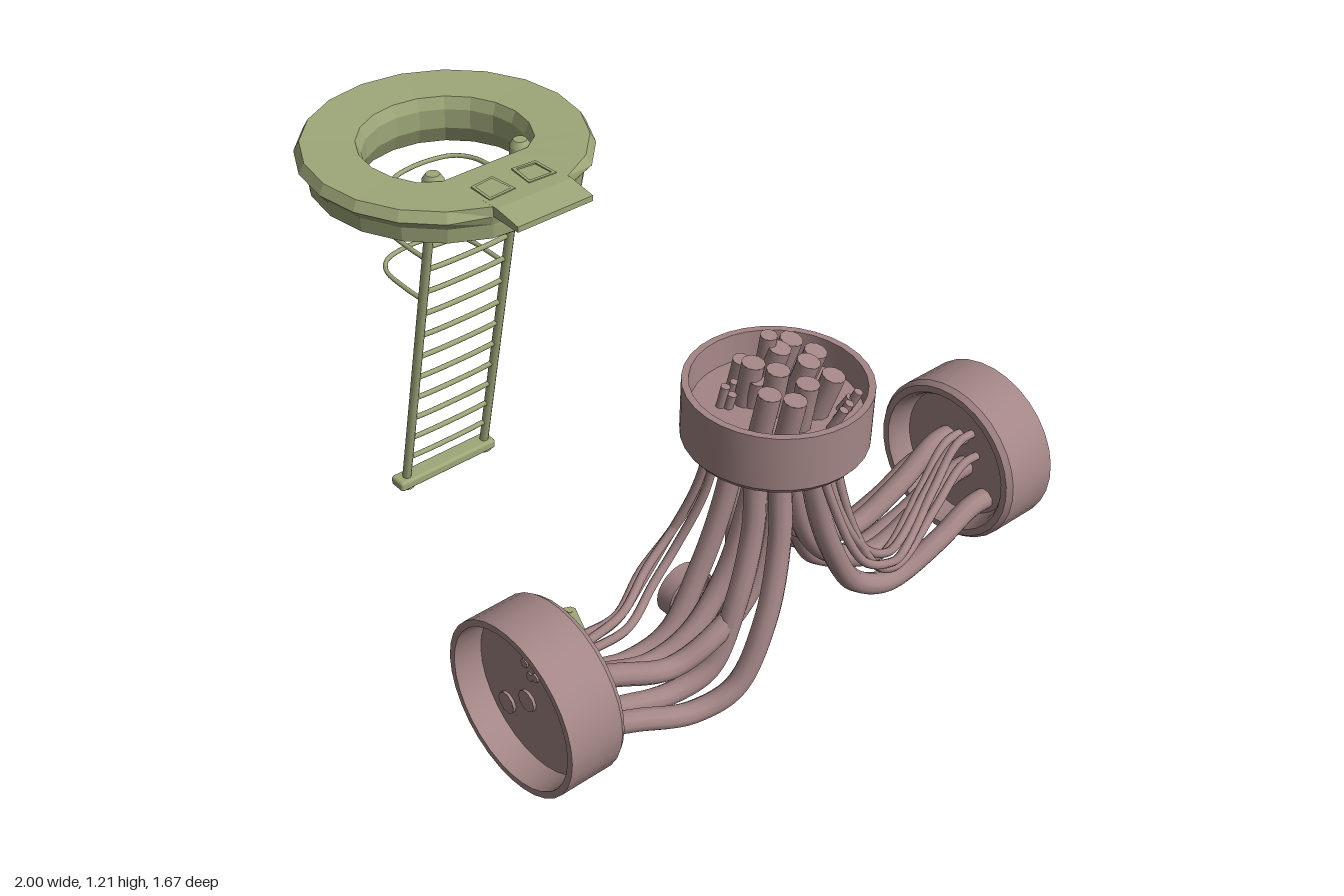
import * as THREE from 'three';
import { mergeGeometries, toCreasedNormals } from 'three/addons/utils/BufferGeometryUtils.js';
import { RoundedBoxGeometry } from 'three/addons/geometries/RoundedBoxGeometry.js';

const green = new THREE.MeshStandardMaterial({ color: 0x9ea779 });
const greenFlat = new THREE.MeshStandardMaterial({ color: 0x9ea779, flatShading: true });
const pink = new THREE.MeshStandardMaterial({ color: 0xa48686 });
const V = (x, y, z) => new THREE.Vector3(x, y, z);
const { lerp, smoothstep } = THREE.MathUtils;

function add(parent, name, geometry, material, x = 0, y = 0, z = 0) {
  const mesh = new THREE.Mesh(geometry, material);
  mesh.name = name;
  mesh.position.set(x, y, z);
  parent.add(mesh);
  return mesh;
}

const toVectors = points => points.map(p => new THREE.Vector2(...p));
const lathe = (points, sides) => new THREE.LatheGeometry(toVectors(points), sides);

// Tube along points, closed with a disc at each end
function cable(points, radius, steps = 40, sides = 10) {
  const curve = new THREE.CatmullRomCurve3(points);
  const caps = [0, 1].map(t => {
    const dir = curve.getTangent(t).multiplyScalar(t ? 1 : -1);
    const cap = new THREE.CircleGeometry(radius, sides);
    cap.applyQuaternion(new THREE.Quaternion().setFromUnitVectors(V(0, 0, 1), dir));
    const p = curve.getPoint(t);
    return cap.translate(p.x, p.y, p.z);
  });
  return mergeGeometries([new THREE.TubeGeometry(curve, steps, radius, sides), ...caps]);
}

function createHatch() {
  const hatch = new THREE.Group();
  hatch.name = 'hatch';
  hatch.position.x = -0.575;

  // Faceted ring, flattened on the ladder side
  const ring = lathe([[0.285, 1.05], [0.36, 1.085], [0.392, 1.105], [0.396, 1.15], [0.422, 1.18],
    [0.405, 1.21], [0.25, 1.205], [0.235, 1.17], [0.235, 1.11], [0.26, 1.055], [0.285, 1.05]], 20);
  const pos = ring.attributes.position;
  for (let i = 0; i < pos.count; i++) {
    const x = pos.getX(i), r = Math.hypot(x, pos.getZ(i));
    pos.setX(i, Math.min(x, r < 0.27 ? 0.185 : 0.385));
  }
  add(hatch, 'hatchRing', ring, greenFlat);

  // Tongue plate, its upper face sloping down to the tip
  const side = new THREE.Shape(toVectors([[0.34, 1.18], [0.49, 1.18], [0.49, 1.197], [0.4, 1.211], [0.34, 1.209]]));
  const tongue = new THREE.ExtrudeGeometry(side, { depth: 0.255, bevelEnabled: false });
  add(hatch, 'hatchTongue', tongue, greenFlat, 0, 0, -0.1275);

  // Two low window frames beside the tongue
  for (const s of [-1, 1]) {
    const frame = grow => toVectors([[0.267 - grow, 0.042 - grow], [0.338 + grow, 0.032 - grow],
      [0.343 + grow, 0.105 + grow], [0.275 - grow, 0.102 + grow]].map(([x, z]) => [x, z * s]));
    const shape = new THREE.Shape(frame(0.009));
    shape.holes.push(new THREE.Path(frame(0)));
    const geometry = new THREE.ExtrudeGeometry(shape, { depth: 0.02, bevelEnabled: false });
    add(hatch, 'windowFrame', geometry.rotateX(-Math.PI / 2), greenFlat, 0, 1.192, 0);
  }
  return hatch;
}

function createLadder() {
  const ladder = new THREE.Group();
  ladder.name = 'ladder';
  const railX = y => -0.645 + (y - 0.03) * 0.19;

  for (const s of [-1, 1]) {
    const z = s * 0.15;
    add(ladder, 'ladderRail', cable([V(railX(0.02), 0.02, z), V(railX(0.6), 0.6, z), V(railX(1.2), 1.2, z)], 0.014, 4), green);
    // Collar at the top of the rail
    const collar = lathe([[0, 1.15], [0.032, 1.15], [0.032, 1.195], [0.02, 1.213], [0, 1.213]], 14);
    add(ladder, 'railCollar', toCreasedNormals(collar, 0.6), green, -0.428, 0, z);
    add(ladder, 'footPad', new THREE.CylinderGeometry(0.024, 0.024, 0.02, 12), green, -0.645, 0.015, z);
  }
  add(ladder, 'footBar', new RoundedBoxGeometry(0.06, 0.034, 0.365, 2, 0.01), green, -0.645, 0.028, 0.006);

  // Slightly sagging rungs
  for (let y = 0.125; y < 1.15; y += 0.0835) {
    const x = railX(y);
    add(ladder, 'rung', cable([V(x, y, -0.15), V(x - 0.006, y - 0.009, -0.08),
      V(x - 0.006, y - 0.009, 0.08), V(x, y, 0.15)], 0.008, 12, 8), green);
  }
  // Safety hoops
  [0.765, 0.915, 1.065].forEach((y, i) => {
    const far = -0.765 + i * 0.03, x = railX(y);
    const half = [[x, 0.15], [x - 0.08, 0.152], [far + 0.07, 0.142], [far + 0.02, 0.105], [far, 0.04]];
    const points = [...half, ...half.map(([a, b]) => [a, -b]).reverse()].map(([a, b]) => V(a, y, b));
    add(ladder, 'safetyHoop', cable(points, 0.007, 48, 8), green);
  });
  return ladder;
}

function createPanel() {
  const panel = new THREE.Group();
  panel.name = 'loosePanel';
  panel.position.set(0.195, 0, 0.321);
  panel.rotation.y = -0.39;
  const height = z => 0.02 + 0.025 * smoothstep(-z, -0.08, 0.1);

  // Bent sheet with clipped corners
  const sheet = new THREE.BoxGeometry(0.215, 0.008, 0.312, 1, 1, 26);
  const pos = sheet.attributes.position;
  for (let i = 0; i < pos.count; i++) {
    const z = pos.getZ(i);
    if (Math.abs(z) > 0.155) pos.setX(i, pos.getX(i) * 0.9);
    pos.setY(i, pos.getY(i) + height(z));
  }
  sheet.computeVertexNormals();
  add(panel, 'bentSheet', sheet, green);
  for (const sx of [-1, 1]) for (const sz of [-1, 1]) {
    add(panel, 'panelBolt', new THREE.CylinderGeometry(0.009, 0.009, 0.012, 10), green,
      sx * 0.09, height(sz * 0.137), sz * 0.137);
  }
  return panel;
}

// Collar: short drum, recessed on both faces; its outer face points along +y
function createCollar(name) {
  const profile = [[0, 0.065], [0.185, 0.065], [0.195, 0.015], [0.205, 0], [0.224, 0], [0.235, 0.015],
    [0.235, 0.167], [0.217, 0.167], [0.212, 0.09], [0, 0.09]];
  const collar = new THREE.Mesh(toCreasedNormals(lathe(profile, 32), 0.5), pink);
  collar.name = name;
  return collar;
}

// Cable bundle from the top collar to the +z collar; lean tilts the upper ends
function createBundle(name, lean) {
  const bundle = new THREE.Group();
  bundle.name = name;
  // radius, top x, top z, top y, middle x, end x, end y, lowest y, end z
  const rows = [
    [0.03, -0.07, 0.05, 1.16, -0.08, -0.105, 0.44, 0.345, 0.768],
    [0.03, 0.0, 0.035, 1.17, -0.005, -0.025, 0.505, 0.39, 0.768],
    [0.03, 0.04, 0.1, 1.15, 0.08, 0.035, 0.42, 0.34, 0.755],
    [0.03, 0.105, 0.08, 1.16, 0.175, 0.11, 0.46, 0.342, 0.755],
    [0.03, 0.085, 0.02, 1.17, 0.075, 0.045, 0.57, 0.43, 0.755],
    [0.012, -0.13, 0.03, 1.1, -0.2, -0.035, 0.62, 0.48, 0.765],
    [0.012, -0.11, 0.07, 1.09, -0.18, -0.015, 0.59, 0.5, 0.765],
    [0.012, -0.085, 0.1, 1.08, -0.15, 0.005, 0.6, 0.47, 0.765],
    [0.012, -0.1, 0.11, 1.1, -0.19, -0.06, 0.56, 0.455, 0.755],
  ];
  for (const [r, tx, tz, ty, mx, ex, ey, low, ez] of rows) {
    add(bundle, r > 0.02 ? 'thickCable' : 'thinCable', cable([
      V(tx + lean, ty, tz - lean * 0.6), V(tx, 0.97, tz),
      V((tx + mx) / 2, 0.76, tz * 0.6 + 0.055),
      V(mx, Math.max(0.56, low + 0.12), 0.13 + tz * 0.5),
      V(lerp(mx, ex, 0.05), low + 0.045, 0.26), V(lerp(mx, ex, 0.4) - 0.012, low, 0.37),
      V(lerp(mx, ex, 0.8) - 0.012, (low + ey) / 2, 0.54),
      V(ex, ey, 0.68), V(ex, ey, ez)], r, 56), pink);
  }
  return bundle;
}

function createJunction() {
  const junction = new THREE.Group();
  junction.name = 'cableJunction';
  junction.position.x = 0.765;

  const top = createCollar('topCollar');
  top.position.y = 0.95;
  junction.add(top);

  // Two opposite arms, half a turn apart
  for (const back of [0, 1]) {
    const arm = new THREE.Group();
    arm.name = back ? 'backArm' : 'frontArm';
    arm.rotation.y = back * Math.PI;
    const collar = createCollar('armCollar');
    collar.position.set(0, 0.54, 0.67);
    collar.rotation.x = Math.PI / 2;
    arm.add(collar, createBundle('cableBundle', back ? -0.04 : 0.02));
    junction.add(arm);
  }

  // Small side branch
  const small = createCollar('smallCollar');
  small.scale.setScalar(0.34);
  small.position.set(-0.265, 0.24, 0);
  small.rotation.z = Math.PI / 2;
  junction.add(small);
  const branch = [[-0.1, -0.03, 0.225, 1.2], [-0.14, 0.02, 0.27, 1.13], [-0.06, 0.04, 0.225, 1.12]];
  for (const [x, z, y, tip] of branch) {
    add(junction, 'branchCable', cable([V(x + 0.03, tip, z), V(x, 0.95, z), V(x + 0.02, 0.7, z * 0.6),
      V(x + 0.03, 0.48, z * 0.8), V(x - 0.01, y + 0.1, z * 1.2), V(-0.19, y + 0.015, z),
      V(-0.25, y, z * 0.9), V(-0.298, y, z * 0.9)], 0.022, 48), pink);
  }
  return junction;
}

export function createModel() {
  const model = new THREE.Group();
  model.name = 'hatchAndCableJunction';
  model.add(createHatch(), createLadder(), createPanel(), createJunction());

  // Loose pins on the ground
  for (const [x, z] of [[0.01, 0.37], [0.35, 0.265]]) {
    const pin = add(model, 'loosePin', new THREE.CylinderGeometry(0.005, 0.005, 0.02, 8), green, x, 0.02, z);
    pin.rotation.set(0, 0.4, Math.PI / 2);
  }
  return model;
}
